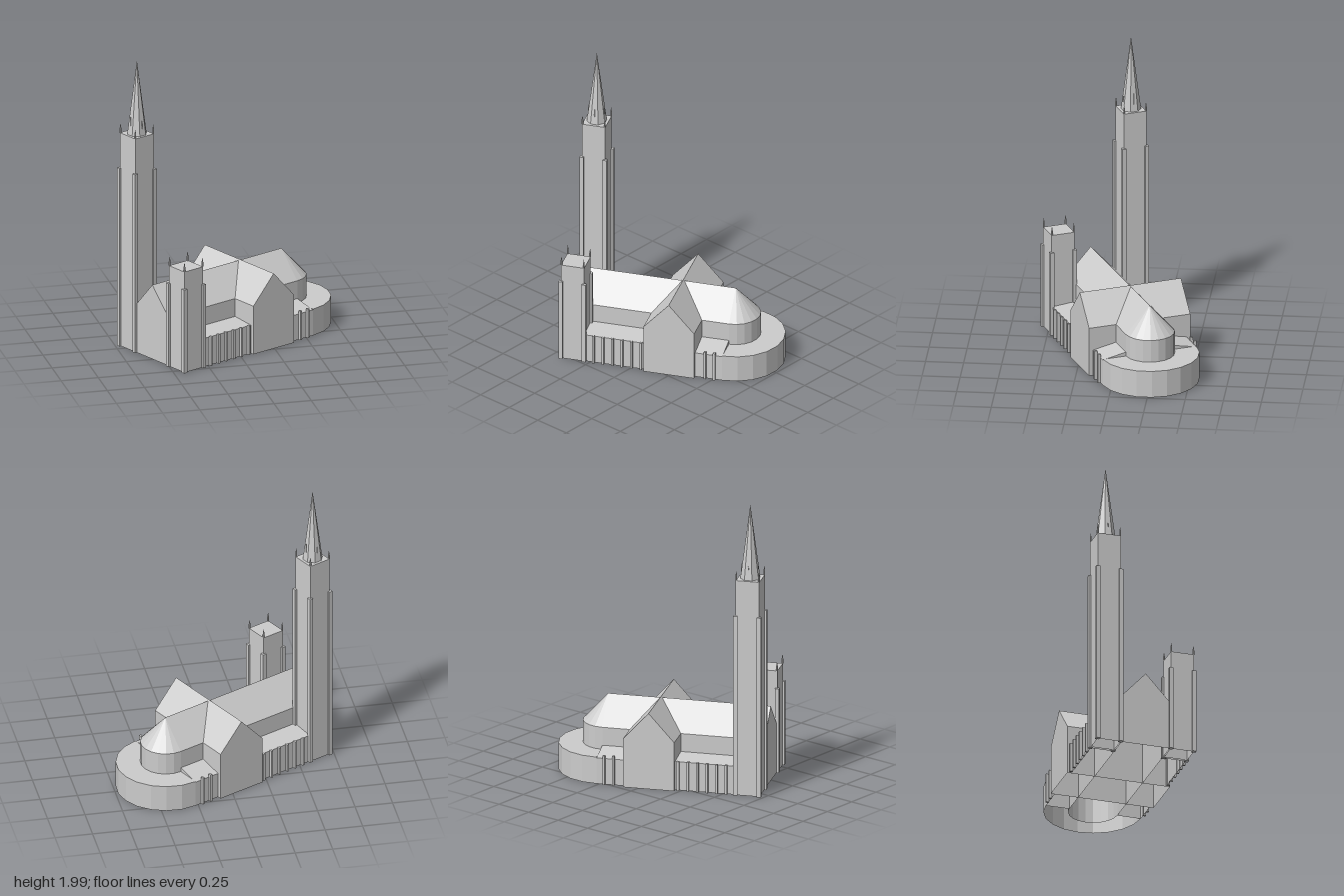
import * as THREE from 'three';

const stone = new THREE.MeshStandardMaterial({ color: 0xcccccc, side: THREE.DoubleSide, flatShading: true });
stone.name = 'stone';

function add(parent, name, geometry, x = 0, y = 0, z = 0) {
  const mesh = new THREE.Mesh(geometry, stone);
  mesh.name = name;
  mesh.position.set(x, y, z);
  parent.add(mesh);
  return mesh;
}

// Shell without a floor: a convex [z, y] profile swept along x, with both ends closed
function shell(profile, x0, x1, capEnd = true) {
  const pos = [];
  const tri = (...pts) => pts.forEach((p) => pos.push(...p));
  const at = (x, [z, y]) => [x, y, z];
  for (let i = 0; i < profile.length - 1; i++) {
    const a = at(x0, profile[i]), b = at(x0, profile[i + 1]);
    const c = at(x1, profile[i + 1]), d = at(x1, profile[i]);
    tri(a, c, b, a, d, c);
  }
  for (let i = 1; i < profile.length - 1; i++) {
    const f = [profile[0], profile[i], profile[i + 1]];
    tri(...f.map((p) => at(x0, p)));
    if (capEnd) tri(...f.reverse().map((p) => at(x1, p)));
  }
  const g = new THREE.BufferGeometry();
  g.setAttribute('position', new THREE.Float32BufferAttribute(pos, 3));
  g.computeVertexNormals();
  return g;
}

const house = (half, eave, ridge) => [[-half, 0], [-half, eave], [0, ridge], [half, eave], [half, 0]];

// Square tower with corner buttresses and pinnacles
function tower(name, z, height, buttressHeight) {
  const g = new THREE.Group();
  g.name = name;
  g.position.set(-0.66, 0, z);
  const h = 0.079;
  add(g, 'towerBody', shell([[-h, 0], [-h, height], [h, height], [h, 0]], -h, h));
  for (const sx of [-1, 1]) for (const sz of [-1, 1]) {
    add(g, 'towerButtress', new THREE.BoxGeometry(0.027, buttressHeight, 0.027), sx * h, buttressHeight / 2, sz * h);
    add(g, 'pinnacleBase', new THREE.CylinderGeometry(0.006, 0.006, 0.03, 6), sx * (h - 0.003), height + 0.015, sz * (h - 0.003));
    add(g, 'pinnacle', new THREE.ConeGeometry(0.006, 0.035, 6), sx * (h - 0.003), height + 0.0475, sz * (h - 0.003));
  }
  return g;
}

export function createModel() {
  const model = new THREE.Group();
  model.name = 'church';
  const church = new THREE.Group();
  church.name = 'churchBody';
  church.position.set(0.09, 0, -0.08);
  church.rotation.y = 0.4515;
  model.add(church);

  // Nave and crossing transept
  const apseX = 0.356, half = 0.165, eave = 0.335, ridge = 0.516;
  add(church, 'nave', shell(house(half, eave, ridge), -0.737, apseX, false));
  add(church, 'transept', shell(house(0.172, eave, 0.523), -0.353, 0.353)).rotation.y = Math.PI / 2;

  // Rounded apse with a half-cone roof
  add(church, 'apseWall', new THREE.CylinderGeometry(half, half, eave, 10, 1, true, 0, Math.PI), apseX, eave / 2, 0);
  add(church, 'apseRoof', new THREE.ConeGeometry(half, ridge - eave, 10, 1, true, 0, Math.PI), apseX, (ridge + eave) / 2, 0);

  // Low ambulatory around the apse
  const outer = 0.326, low = 0.183;
  add(church, 'ambulatoryWall', new THREE.CylinderGeometry(outer, outer, low, 10, 1, true, 0, Math.PI), apseX, low / 2, 0);
  add(church, 'ambulatoryRoof', new THREE.RingGeometry(half, outer, 10, 1, -Math.PI / 2, Math.PI), apseX, low, 0).rotation.x = -Math.PI / 2;

  // Side aisles and their buttresses
  const buttressX = [0, 1, 2, 3, 4, 5].map((i) => -0.517 + i * 0.0644).concat([0.241, 0.304]);
  for (const s of [-1, 1]) {
    const aisle = (outerEave) => {
      const p = [[half, 0], [half, 0.211], [outer, outerEave], [outer, 0]];
      return s > 0 ? p : p.map(([z, y]) => [-z, y]).reverse();
    };
    add(church, 'naveAisle', shell(aisle(0.196), -0.6, -0.17));
    add(church, 'choirAisle', shell(aisle(0.178), 0.17, apseX));
    for (const x of buttressX)
      add(church, 'aisleButtress', new THREE.BoxGeometry(0.015, 0.202, 0.02), x, 0.101, s * 0.334);
  }

  // Unequal west towers
  church.add(tower('shortTower', 0.252, 0.7, 0.58));
  const tall = tower('tallTower', -0.252, 1.483, 1.24);
  church.add(tall);

  // Octagonal spire with small spikes at its foot
  add(tall, 'spire', new THREE.ConeGeometry(0.066, 0.507, 8, 1, true, Math.PI / 8), 0, 1.7365, 0);
  for (let i = 0; i < 4; i++) {
    const a = i * Math.PI / 2;
    add(tall, 'spireSpike', new THREE.ConeGeometry(0.006, 0.127, 5), Math.cos(a) * 0.052, 1.5465, Math.sin(a) * 0.052);
  }
  return model;
}
